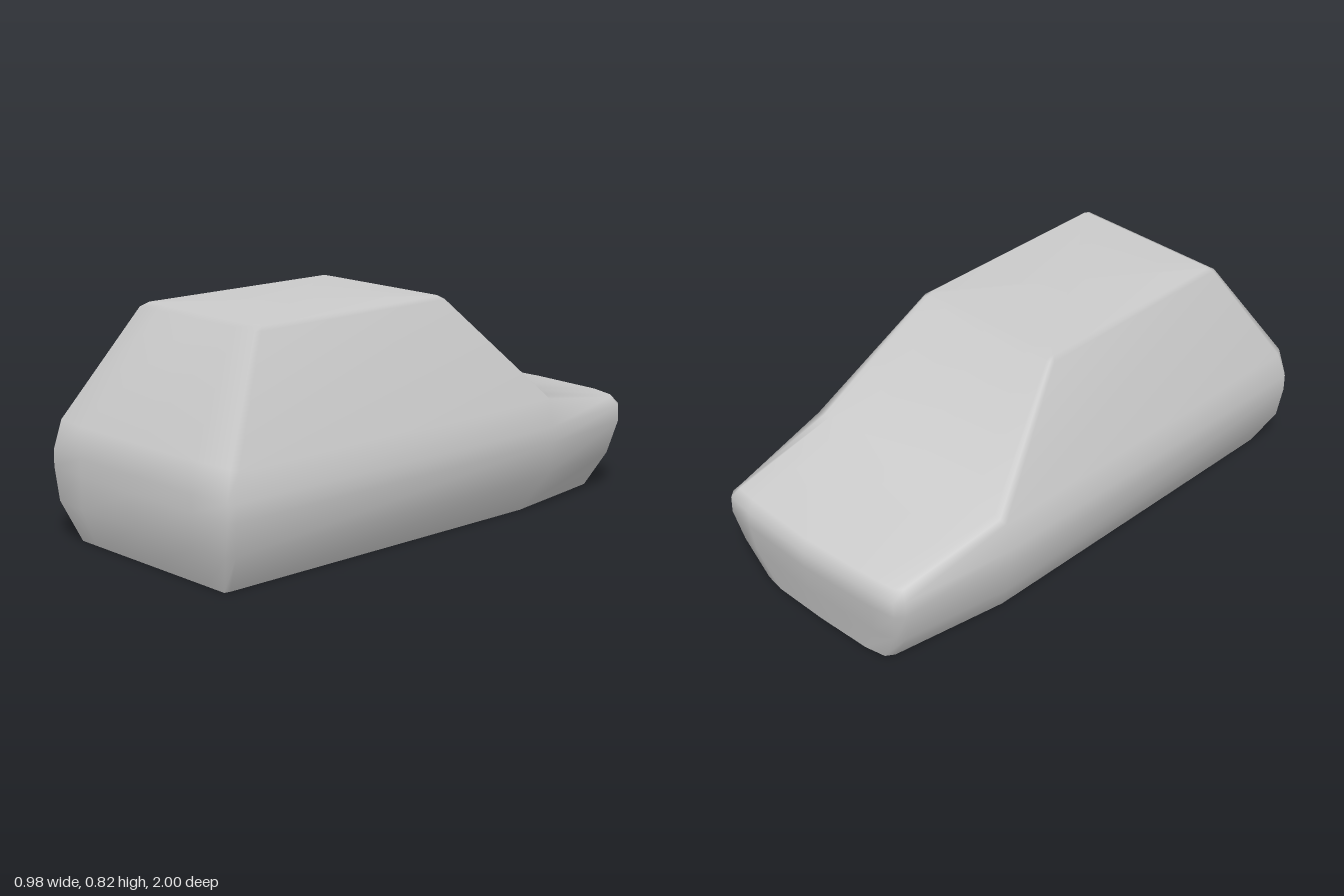
import * as THREE from 'three';
import { mergeVertices } from 'three/addons/utils/BufferGeometryUtils.js';

// Each level is a half outline [x, y, z] from the nose centre, along +x, to the tail centre.
const flat = (y, pts) => pts.map(([x, z]) => [x, y, z]);

const sill = flat(0, [[0, -0.94], [0.22, -0.935], [0.3, -0.92], [0.32, -0.89], [0.39, -0.45],
  [0.39, 0.92], [0.385, 0.94], [0.3, 0.94], [0, 0.94]]);
const lower = flat(0.14, [[0, -0.975], [0.3, -0.96], [0.385, -0.945], [0.41, -0.91], [0.47, -0.51],
  [0.47, 0.96], [0.45, 0.985], [0.3, 1], [0, 1]]);
const waist = [[0, -1], [0.3, -0.985], [0.41, -0.97], [0.435, -0.94], [0.488, -0.51],
  [0.488, 0.97], [0.47, 0.99], [0.3, 1], [0, 1]];
const shoulder = [[0, 0.36, -0.975], [0.3, 0.36, -0.96], [0.39, 0.355, -0.945], [0.41, 0.352, -0.92],
  [0.47, 0.42, -0.51], [0.47, 0.42, 0.94], [0.455, 0.425, 0.965], [0.3, 0.43, 0.99], [0, 0.43, 0.99]];
// The windscreen base steps back from the nose; the rest stays on the shoulder line.
const cowl = [[0, 0.435, -0.5], [0.3, 0.435, -0.5], [0.41, 0.43, -0.505], [0.44, 0.425, -0.51],
  ...shoulder.slice(4)];
const roofEdge = flat(0.81, [[0, -0.135], [0.2, -0.135], [0.29, -0.135], [0.305, -0.133], [0.315, -0.12],
  [0.315, 0.715], [0.305, 0.73], [0.2, 0.73], [0, 0.73]]);
const roof = flat(0.823, [[0, -0.115], [0.2, -0.115], [0.28, -0.115], [0.29, -0.113], [0.297, -0.105],
  [0.297, 0.695], [0.29, 0.705], [0.2, 0.705], [0, 0.705]]);

// Mirror a half outline into a closed ring.
const ring = (half) => [...half, ...half.slice(1, -1).reverse().map(([x, y, z]) => [-x, y, z])];

// Skin between successive rings.
function skin(levels) {
  const rings = levels.map(ring), tris = [];
  for (let j = 0; j < rings.length - 1; j++) {
    const lo = rings[j], hi = rings[j + 1], n = lo.length;
    for (let i = 0; i < n; i++) {
      const k = (i + 1) % n;
      tris.push(lo[i], hi[i], lo[k], lo[k], hi[i], hi[k]);
    }
  }
  return tris;
}

// Flat lid filling a ring, facing up or down.
function lid(half, up) {
  const r = ring(half), c = [0, half[0][1], (half[0][2] + half[8][2]) / 2];
  return r.flatMap((p, i) => {
    const q = r[(i + 1) % r.length];
    return up ? [c, q, p] : [c, p, q];
  });
}

function part(name, tris) {
  const raw = new THREE.BufferGeometry();
  raw.setAttribute('position', new THREE.Float32BufferAttribute(tris.flat(), 3));
  const geometry = mergeVertices(raw, 1e-4);
  geometry.computeVertexNormals();
  const mesh = new THREE.Mesh(geometry, new THREE.MeshStandardMaterial({ color: 0xcccccc }));
  mesh.name = name;
  return mesh;
}

export function createModel() {
  const group = new THREE.Group();
  group.name = 'carBody';
  // Smooth shell: sides, nose, hood, cabin and roof
  const levels = [sill, lower, flat(0.26, waist), flat(0.32, waist), shoulder, cowl, roofEdge, roof];
  group.add(part('bodyShell', [...skin(levels), ...lid(roof, true)]));
  // Flat underside with a sharp edge
  group.add(part('underside', lid(sill, false)));
  return group;
}
